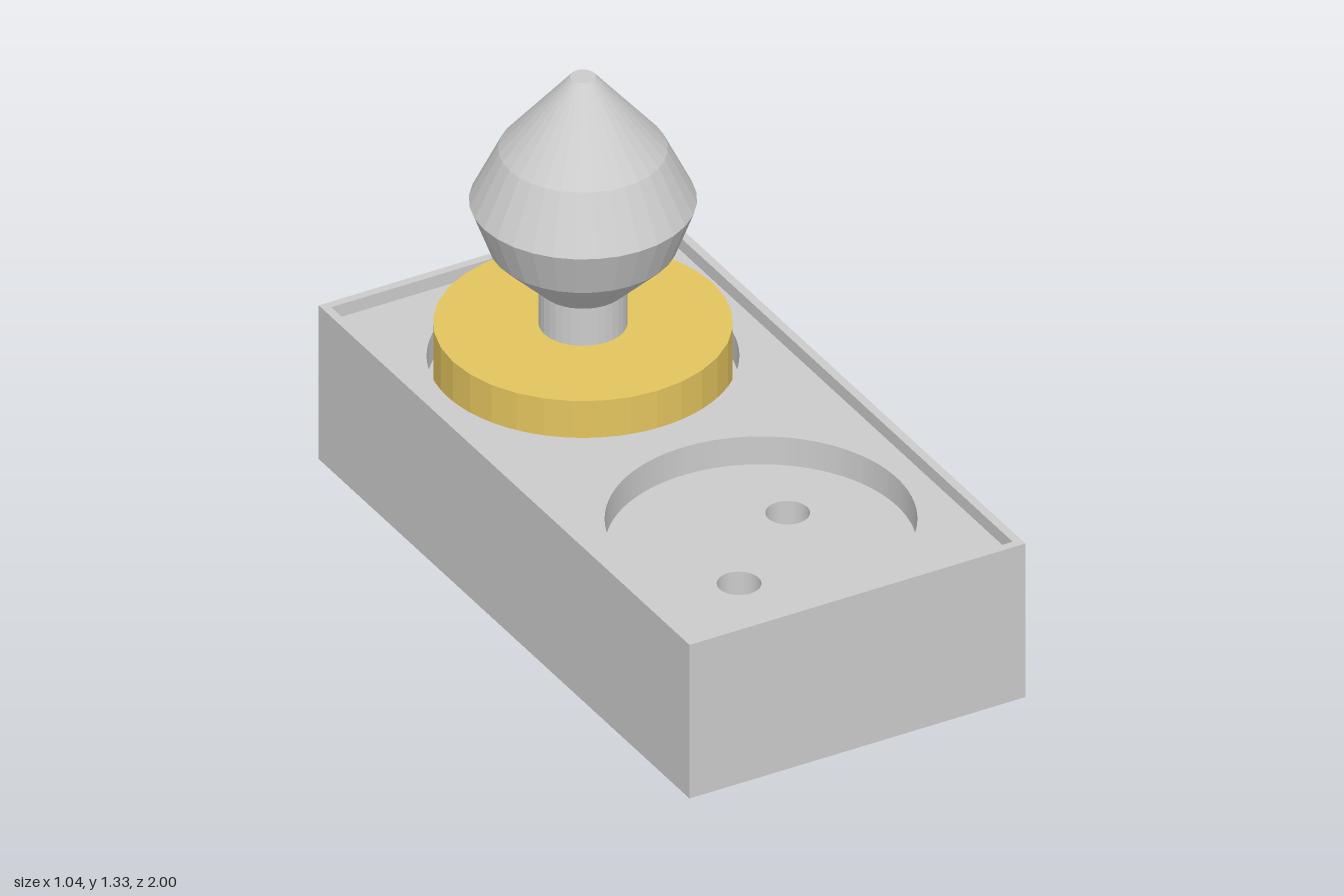
import * as THREE from 'three';

const W = 1.04, L = 2, WALL = 0.025;
const TOP = 0.485, DECK = 0.445, WELL = 0.357, PIN_FLOOR = 0.16;
const SOCKETS = [0.48, -0.48];

const grey = new THREE.MeshStandardMaterial({ color: 0xcccccc, flatShading: true });
const gold = new THREE.MeshStandardMaterial({ color: 0xe3c45e, flatShading: true });

function rectangle(PathType, w, l) {
  const p = new PathType();
  p.moveTo(-w / 2, -l / 2);
  p.lineTo(w / 2, -l / 2);
  p.lineTo(w / 2, l / 2);
  p.lineTo(-w / 2, l / 2);
  p.closePath();
  return p;
}

function circle(x, z, r) {
  return new THREE.Path().absarc(x, -z, r, 0, Math.PI * 2, true);
}

// Horizontal plate with holes, from height y0 up to y1
function plate(name, w, l, holes, y0, y1) {
  const shape = rectangle(THREE.Shape, w, l);
  shape.holes.push(...holes);
  const geo = new THREE.ExtrudeGeometry(shape, { depth: y1 - y0, bevelEnabled: false, curveSegments: 64 });
  geo.rotateX(-Math.PI / 2);
  const mesh = new THREE.Mesh(geo, grey);
  mesh.name = name;
  mesh.position.y = y0;
  return mesh;
}

// Turned part with vertices on the x axis
function turned(name, profile, material) {
  const points = profile.map(([r, y]) => new THREE.Vector2(r, y));
  const mesh = new THREE.Mesh(new THREE.LatheGeometry(points, 32), material);
  mesh.name = name;
  return mesh;
}

export function createModel() {
  const model = new THREE.Group();
  model.name = 'doubleSocketWithNightLight';

  // Socket box: outer walls, base and the two stepped inner plates
  const box = new THREE.Group();
  box.name = 'socketBox';
  const iw = W - 2 * WALL, il = L - 2 * WALL;
  const wells = SOCKETS.map((z) => circle(0, z, 0.42));
  const pins = SOCKETS.flatMap((z) => [circle(0.148, z - 0.114, 0.06), circle(-0.145, z + 0.134, 0.06)]);
  box.add(
    plate('outerWalls', W, L, [rectangle(THREE.Path, iw, il)], 0, TOP),
    plate('base', iw, il, [], 0, PIN_FLOOR),
    plate('pinHolePlate', iw, il, pins, PIN_FLOOR, WELL),
    plate('socketWellPlate', iw, il, wells, WELL, DECK),
  );
  model.add(box);

  // Plug-in lamp standing in the rear socket
  const lamp = new THREE.Group();
  lamp.name = 'plugInLamp';
  lamp.position.z = SOCKETS[1];
  lamp.add(
    turned('plugDisc', [[0, WELL + 0.002], [0.403, WELL + 0.002], [0.403, 0.55], [0, 0.55]], gold),
    turned('bulb', [
      [0.12, 0.54], [0.12, 0.667], [0.255, 0.8], [0.307, 0.938],
      [0.228, 1.1], [0.035, 1.327], [0, 1.327],
    ], grey),
  );
  model.add(lamp);

  return model;
}
